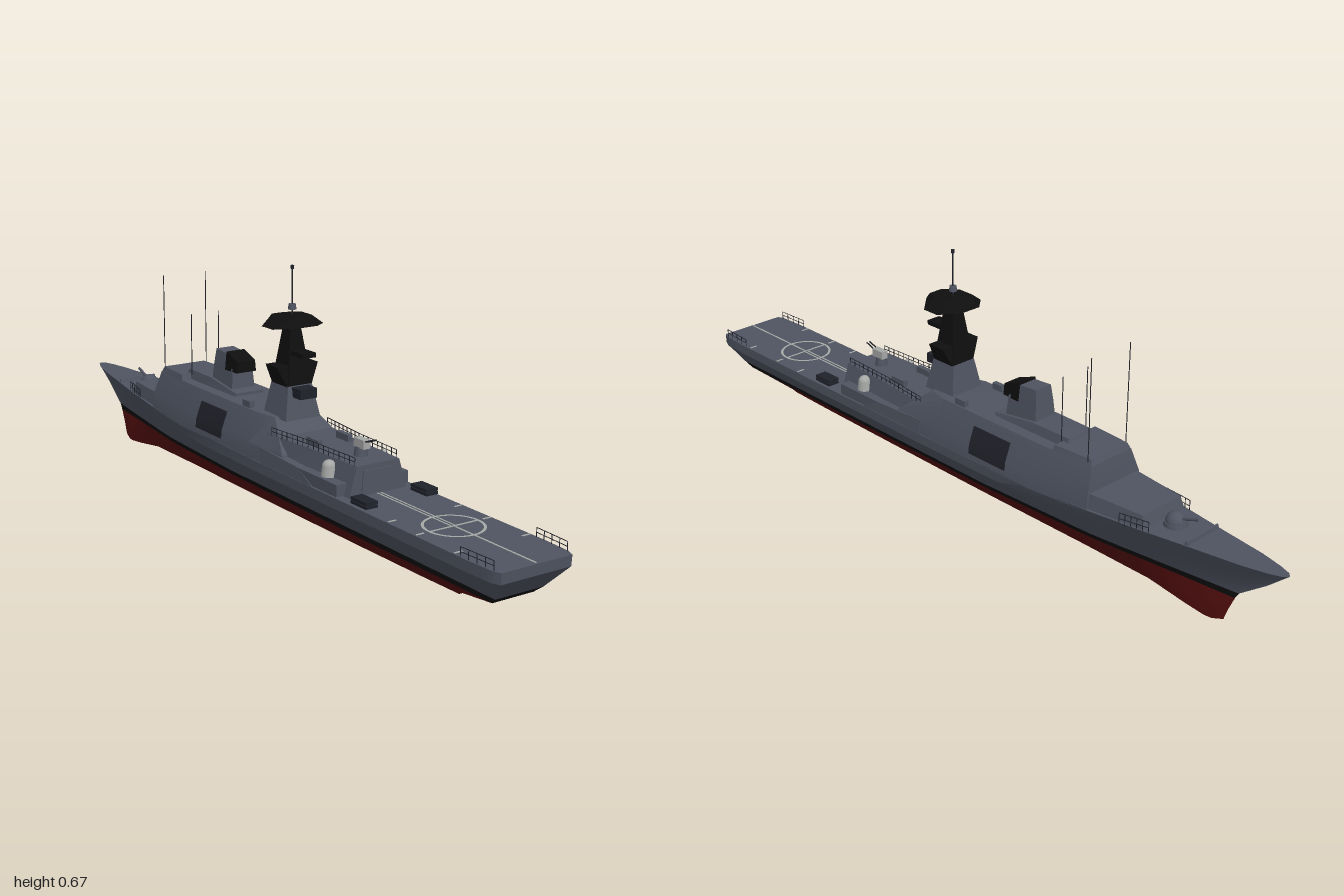
import * as THREE from 'three';
import { toCreasedNormals } from 'three/addons/utils/BufferGeometryUtils.js';

const paint = (color) => new THREE.MeshStandardMaterial({ color, side: THREE.DoubleSide });

// Piecewise linear lookup in [[t, value], ...]
function lookup(table, t) {
  for (let i = 1; i < table.length; i++) {
    const [a, va] = table[i - 1], [b, vb] = table[i];
    if (t <= b) return va + (vb - va) * Math.max(0, (t - a) / (b - a));
  }
  return table[table.length - 1][1];
}

// Symmetric loft from stern to bow. Each section is a list of [halfWidth, y, z], bottom to top.
function loft(sections, top = true, bottom = true) {
  const pos = [];
  const rings = sections.map((s) => [...s, ...[...s].reverse().map(([x, y, z]) => [-x, y, z])]);
  const m = sections[0].length, n = 2 * m;
  const quad = (a, b, c, d) => pos.push(...a, ...b, ...c, ...a, ...c, ...d);
  for (let i = 1; i < rings.length; i++) {
    const a = rings[i - 1], b = rings[i];
    for (let j = 0; j < n; j++) {
      if ((j === m - 1 && !top) || (j === n - 1 && !bottom)) continue;
      const k = (j + 1) % n;
      quad(a[j], b[j], b[k], a[k]);
    }
  }
  const s = rings[0], e = rings[rings.length - 1];
  for (let j = 0; j < m - 1; j++) {
    quad(s[j], s[j + 1], s[n - 2 - j], s[n - 1 - j]);
    quad(e[n - 1 - j], e[n - 2 - j], e[j + 1], e[j]);
  }
  const g = new THREE.BufferGeometry();
  g.setAttribute('position', new THREE.Float32BufferAttribute(pos, 3));
  return toCreasedNormals(g, 0.4);
}

// Hull lines from keel to deck: stern end, bow end, height and half width along the ship
const LINES = [
  { zs: 0.77, zb: -0.835, y: [[-1, 0.015], [-0.95, 0.004], [-0.85, 0.012], [-0.7, 0.028], [-0.4, 0.032], [1, 0.04]],
    w: [[-1, 0.001], [-0.95, 0.008], [-0.7, 0.01], [0, 0.016], [1, 0.012]] },
  { zs: 0.78, zb: -0.845, y: [[-1, 0.045], [1, 0.05]],
    w: [[-1, 0.001], [-0.95, 0.011], [-0.7, 0.016], [-0.3, 0.027], [0.6, 0.027], [1, 0.02]] },
  { zs: 0.93, zb: -0.862, y: [[-1, 0.085]],
    w: [[-1, 0.001], [-0.8, 0.016], [-0.5, 0.042], [-0.1, 0.058], [0.7, 0.06], [1, 0.058]] },
  { zs: 0.95, zb: -0.872, y: [[-1, 0.102]],
    w: [[-1, 0.001], [-0.8, 0.022], [-0.5, 0.052], [-0.1, 0.069], [1, 0.068]] },
  { zs: 0.998, zb: -0.945, y: [[-1, 0.157]],
    w: [[-1, 0.001], [-0.9, 0.021], [-0.76, 0.043], [-0.5, 0.083], [-0.2, 0.106], [0, 0.11], [0.9, 0.11], [0.98, 0.106], [1, 0.098]] },
  { zs: 1, zb: -1, y: [[-1, 0.206], [-0.6, 0.199], [-0.3, 0.188], [0, 0.184], [1, 0.184]],
    w: [[-1, 0.002], [-0.99, 0.012], [-0.96, 0.023], [-0.9, 0.038], [-0.76, 0.06], [-0.64, 0.08], [-0.48, 0.098], [-0.3, 0.107], [-0.1, 0.11], [0.9, 0.11], [0.98, 0.106], [1, 0.098]] },
];
const STATIONS = [1, 0.99, 0.98, 0.95, 0.9, 0.7, 0.4, 0.1, -0.1, -0.2, -0.3, -0.4, -0.48, -0.56, -0.64, -0.7, -0.76, -0.8, -0.85, -0.9, -0.93, -0.96, -0.98, -0.99, -1];
function hullPoint({ zs, zb, y, w }, t) {
  let z = t;
  if (t > 0.6) z = 0.6 + (t - 0.6) / 0.4 * (zs - 0.6);
  if (t < -0.4) z = -0.4 + (t + 0.4) / 0.6 * (zb + 0.4) * -1;
  return [lookup(w, t), y.length > 1 ? lookup(y, t) : y[0][1], z];
}

export function createModel() {
  const ship = new THREE.Group();
  const grey = paint(0x4f5461), dark = paint(0x20222a), black = paint(0x0f0f10), red = paint(0x560f0f), pale = paint(0xa6a8a6);
  const add = (name, geo, mat = grey, x = 0, y = 0, z = 0) => {
    const mesh = new THREE.Mesh(geo, mat);
    mesh.name = name;
    mesh.position.set(x, y, z);
    ship.add(mesh);
    return mesh;
  };
  const box = (name, w, h, d, x, y, z, mat) => add(name, new THREE.BoxGeometry(w, h, d), mat, x, y, z);
  const bar = (name, a, b, r, mat = dark) => {
    const p = new THREE.Vector3(...a), q = new THREE.Vector3(...b), d = q.clone().sub(p);
    const mesh = add(name, new THREE.CylinderGeometry(r, r, d.length(), 6), mat);
    mesh.position.copy(p).add(q).multiplyScalar(0.5);
    mesh.quaternion.setFromUnitVectors(new THREE.Vector3(0, 1, 0), d.normalize());
  };
  const rail = (name, a, b, h, posts) => {
    const at = (f, k) => [a[0] + (b[0] - a[0]) * f, a[1] + (b[1] - a[1]) * f + k, a[2] + (b[2] - a[2]) * f];
    for (const k of [h / 2, h]) bar(name, at(0, k), at(1, k), 0.001);
    for (let i = 0; i <= posts; i++) bar(name, at(i / posts, 0), at(i / posts, h), 0.001);
  };

  // Hull in three painted bands
  const band = (i, j) => STATIONS.map((t) => LINES.slice(i, j + 1).map((l) => hullPoint(l, t)));
  add('hullTopsides', loft(band(3, 5), true, false));
  add('waterlineBand', loft(band(2, 3), false, true), black);
  add('hullBottom', loft(band(0, 2), true, true), red);

  // Superstructure
  const side = (z, zTop = z) => [[0.109, 0.184, z], [0.105, 0.223, z], [0.077, 0.297, zTop]];
  add('mainHouse', loft([
    [[0.105, 0.184, 0.2], [0.1, 0.223, 0.19], [0.062, 0.295, 0.1]],
    side(0.04), side(-0.3),
    [[0.096, 0.19, -0.485], [0.092, 0.232, -0.485], [0.07, 0.297, -0.475]]]));
  add('bridgeRoof', loft([
    [[0.076, 0.295, -0.35], [0.072, 0.311, -0.355]],
    [[0.07, 0.295, -0.475], [0.064, 0.311, -0.468]]]));
  add('foredeckHouse', loft([
    [[0.092, 0.19, -0.48], [0.085, 0.234, -0.48]],
    [[0.076, 0.195, -0.645], [0.068, 0.232, -0.635]]]));
  add('hangar', loft([
    [[0.085, 0.18, 0.452], [0.062, 0.258, 0.45]],
    [[0.092, 0.18, 0.3], [0.068, 0.258, 0.3]],
    [[0.1, 0.18, 0.1], [0.085, 0.258, 0.1]]]));
  add('sideDeck', loft([
    [[0.109, 0.18, 0.34], [0.106, 0.215, 0.27]],
    [[0.109, 0.18, 0.1], [0.105, 0.223, 0.1]]]));
  const grille = (z) => [[0.1092, 0.2, z], [0.1068, 0.223, z], [0.0895, 0.27, z]];
  add('sideGrilles', loft([grille(-0.09), grille(-0.22)]), dark);
  add('breakwater', loft([
    [[0.058, 0.2, -0.752], [0.058, 0.212, -0.755]],
    [[0.056, 0.2, -0.762], [0.056, 0.212, -0.76]]]));

  // Funnel and its deckhouse
  add('funnelDeckhouse', loft([
    [[0.046, 0.295, -0.12], [0.042, 0.305, -0.12]],
    [[0.046, 0.295, -0.25], [0.042, 0.322, -0.25]],
    [[0.046, 0.295, -0.38], [0.04, 0.322, -0.37]]]));
  add('funnel', loft([
    [[0.036, 0.3, -0.15], [0.031, 0.36, -0.155], [0.026, 0.398, -0.185]],
    [[0.036, 0.3, -0.255], [0.031, 0.36, -0.25], [0.026, 0.402, -0.245]]]));
  add('funnelExhaust', loft([
    [[0.03, 0.355, -0.135], [0.027, 0.385, -0.135]],
    [[0.033, 0.355, -0.19], [0.028, 0.404, -0.19]]]), black);

  // Mast
  add('mastHouse', loft([
    [[0.052, 0.29, 0.135], [0.036, 0.375, 0.12]],
    [[0.052, 0.29, 0.03], [0.036, 0.375, 0.043]]]));
  add('mastFlare', loft([
    [[0.036, 0.372, 0.118], [0.062, 0.425, 0.108]],
    [[0.036, 0.372, 0.046], [0.062, 0.425, 0.056]]]), black);
  add('mastTower', loft([
    [[0.036, 0.372, 0.12], [0.014, 0.53, 0.098]],
    [[0.036, 0.372, 0.044], [0.014, 0.53, 0.066]]]), black);
  add('mastPlatform', loft([
    [[0.028, 0.53, 0.155], [0.02, 0.543, 0.15]],
    [[0.076, 0.524, 0.11], [0.044, 0.548, 0.105]],
    [[0.076, 0.524, 0.06], [0.044, 0.548, 0.06]],
    [[0.028, 0.53, 0.015], [0.02, 0.543, 0.02]]]), black);
  box('mastShelf', 0.04, 0.012, 0.06, 0, 0.458, 0.13, black);
  box('lowerMastShelf', 0.05, 0.025, 0.045, 0, 0.36, 0.137, dark);
  bar('mastPole', [0, 0.54, 0.083], [0, 0.67, 0.083], 0.002);
  add('poleDrum', new THREE.CylinderGeometry(0.009, 0.011, 0.014, 12), grey, 0, 0.57, 0.083);
  add('poleTop', new THREE.CylinderGeometry(0.005, 0.004, 0.009, 12), dark, 0, 0.67, 0.083);

  // Bow gun
  add('bowGunBase', new THREE.CylinderGeometry(0.028, 0.03, 0.012, 20), grey, 0, 0.204, -0.68);
  add('bowGunTurret', new THREE.SphereGeometry(0.026, 20, 10, 0, Math.PI * 2, 0, Math.PI / 2), grey, 0, 0.209, -0.68);
  bar('bowGunBarrel', [0, 0.22, -0.69], [0, 0.24, -0.745], 0.004, grey);

  // Hangar roof gun
  add('roofGunBase', new THREE.CylinderGeometry(0.014, 0.018, 0.025, 12), grey, 0, 0.268, 0.38);
  box('roofGunBody', 0.02, 0.022, 0.04, 0, 0.29, 0.385, pale);
  for (const x of [-0.005, 0.005]) bar('roofGunBarrel', [x, 0.293, 0.39], [x, 0.308, 0.435], 0.002);

  for (const s of [-1, 1]) {
    // Side domes, sponsons and launchers
    box('sponson', 0.036, 0.03, 0.16, s * 0.088, 0.2, 0.35);
    add('domeBase', new THREE.CylinderGeometry(0.017, 0.02, 0.025, 16), pale, s * 0.078, 0.226, 0.36);
    add('dome', new THREE.SphereGeometry(0.017, 16, 8, 0, Math.PI * 2, 0, Math.PI / 2), pale, s * 0.078, 0.238, 0.36);
    for (const y of [0.191, 0.2]) box('deckLocker', 0.034, 0.007, 0.06, s * 0.088, y, 0.515, dark);
    box('roofLauncher', 0.014, 0.02, 0.035, s * 0.066, 0.304, -0.02);
    box('hangarLocker', 0.014, 0.018, 0.05, s * 0.045, 0.266, 0.25);

    // Railings
    rail('hangarRail', [s * 0.061, 0.257, 0.44], [s * 0.068, 0.257, 0.28], 0.02, 8);
    rail('hangarRail', [s * 0.068, 0.257, 0.28], [s * 0.085, 0.257, 0.12], 0.02, 8);
    rail('sternRail', [s * 0.102, 0.184, 0.98], [s * 0.107, 0.184, 0.88], 0.022, 4);
    rail('foredeckRail', [s * 0.074, 0.197, -0.66], [s * 0.086, 0.193, -0.58], 0.03, 5);

    // Whip aerials
    bar('tallAerial', [s * 0.067, 0.3, -0.46], [s * 0.067, 0.572, -0.46], 0.0012);
    bar('shortAerial', [s * 0.043, 0.3, -0.35], [s * 0.043, 0.48, -0.35], 0.0012);

    // Paired approach lines and edge marks
    box('approachLine', 0.004, 0.001, 0.27, s * 0.005, 0.185, 0.59, pale);
    for (const z of [0.63, 0.73, 0.86]) box('edgeMark', 0.022, 0.001, 0.005, s * 0.095, 0.185, z, pale);
  }
  // Landing circle and centre line
  add('landingCircle', new THREE.RingGeometry(0.066, 0.073, 48).rotateX(-Math.PI / 2), pale, 0, 0.1856, 0.73);
  box('centreLine', 0.005, 0.001, 0.26, 0, 0.185, 0.865, pale);
  box('crossLine', 0.14, 0.001, 0.005, 0, 0.185, 0.73, pale);
  // Hangar door
  add('hangarDoor', loft([
    [[0.05, 0.186, 0.4545], [0.044, 0.245, 0.4535]],
    [[0.05, 0.186, 0.44], [0.044, 0.245, 0.44]]]), grey);
  return ship;
}
